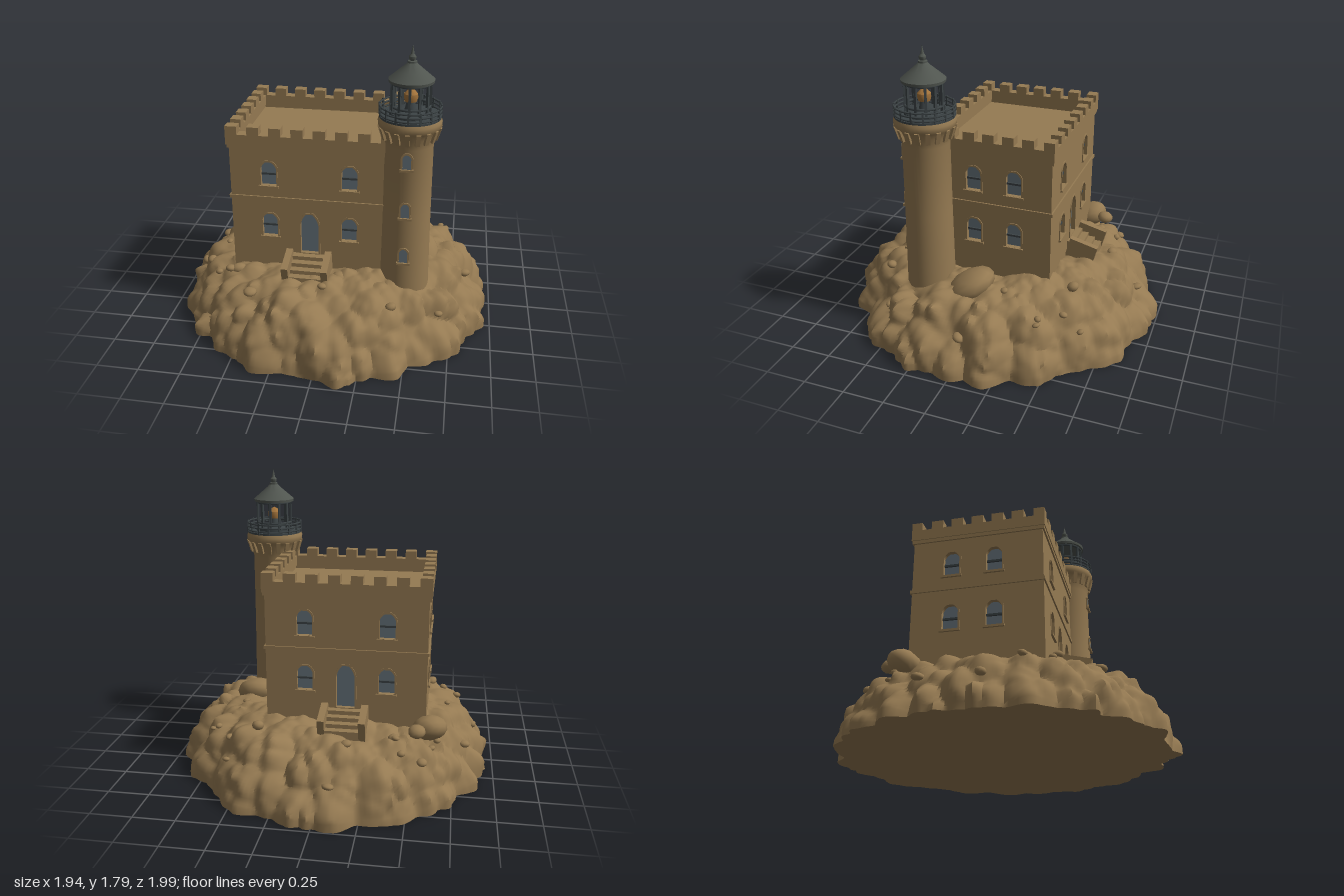
import * as THREE from 'three';
import { toCreasedNormals } from 'three/addons/utils/BufferGeometryUtils.js';

const material = (name, color) => Object.assign(new THREE.MeshStandardMaterial({ color }), { name });
const stone = material('sandstone', 0x957a52);
const glass = material('glass', 0x65727a);
const iron = material('dark iron', 0x3c4345);
const roofMetal = material('roof metal', 0x50554f);
const lampColor = material('lamp', 0xa0713a);
glass.side = THREE.DoubleSide;

let seed = 7;
const rand = () => (seed = (seed * 16807) % 2147483647) / 2147483647;
const range = (a, b) => a + (b - a) * rand();

function add(parent, name, geometry, mat, x = 0, y = 0, z = 0) {
  const mesh = new THREE.Mesh(geometry, mat);
  mesh.name = name;
  mesh.position.set(x, y, z);
  parent.add(mesh);
  return mesh;
}
const box = (parent, name, w, h, d, x, y, z, mat = stone) =>
  add(parent, name, new THREE.BoxGeometry(w, h, d), mat, x, y, z);
const lathe = (points, sides = 40) => toCreasedNormals(
  new THREE.LatheGeometry(points.map(p => new THREE.Vector2(...p)), sides), 0.6);

function group(parent, name, x = 0, y = 0, z = 0, ry = 0) {
  const g = new THREE.Group();
  g.name = name;
  g.position.set(x, y, z);
  g.rotation.y = ry;
  parent.add(g);
  return g;
}

// Arched outline standing on y, centred on x
function arch(Type, x, y, w, h) {
  const a = w / 2, s = new Type();
  s.moveTo(x - a, y);
  s.lineTo(x + a, y);
  s.lineTo(x + a, y + h * 0.74);
  s.quadraticCurveTo(x + a * 0.85, y + h * 0.9, x + a * 0.35, y + h);
  s.lineTo(x - a * 0.35, y + h);
  s.quadraticCurveTo(x - a * 0.85, y + h * 0.9, x - a, y + h * 0.74);
  s.closePath();
  return s;
}

// Glass, surround, sill and bar of one opening
function opening(parent, { x, y, w, h, door }, inset, bar = true) {
  add(parent, door ? 'doorPanel' : 'windowGlass',
    new THREE.ShapeGeometry(arch(THREE.Shape, x, y, w, h)), glass, 0, 0, -inset);
  const ring = arch(THREE.Shape, x, y - 0.006, w + 0.02, h + 0.016);
  ring.holes.push(arch(THREE.Path, x, y, w, h));
  add(parent, 'surround', new THREE.ExtrudeGeometry(ring, { depth: 0.011, bevelEnabled: false, curveSegments: 6 }),
    stone, 0, 0, -0.006);
  if (door) return;
  box(parent, 'sill', w + 0.03, 0.013, 0.026, x, y - 0.007, 0);
  if (bar) box(parent, 'sashBar', w, 0.012, 0.012, x, y + h * 0.47, -inset + 0.005, iron);
}

// Rocky mound: a swept profile swollen by overlapping crags
function buildMound(root) {
  const profile = new THREE.SplineCurve([[0.925, 0], [0.885, 0.09], [0.83, 0.18], [0.76, 0.26], [0.66, 0.325],
    [0.5, 0.365], [0.25, 0.38], [0, 0.38]].map(p => new THREE.Vector2(...p)));
  const base = (t, angle) => {
    const p = profile.getPointAt(t);
    const r = p.x * (1 + 0.012 * Math.sin(3 * angle + 1) + 0.01 * Math.sin(5 * angle));
    return new THREE.Vector3(r * Math.cos(angle), p.y, r * Math.sin(angle));
  };
  const scatter = (count, r0, r1, amp) => Array.from({ length: count }, () => {
    const t = rand() * 0.62;
    return { p: base(t, rand() * Math.PI * 2), r: range(r0, r1), amp: amp * range(0.55, 1.15) * (t > 0.38 ? 0.65 : 1) };
  });
  const layers = [scatter(330, 0.07, 0.15, 0.09), scatter(600, 0.03, 0.06, 0.016)];
  const bump = v => layers.reduce((sum, layer) => {
    let best = 0;
    for (const { p, r, amp } of layer) {
      const dx = v.x - p.x, dy = (v.y - p.y) * 0.5, dz = v.z - p.z;
      best = Math.max(best, amp * (1 - Math.pow((dx * dx + dy * dy + dz * dz) / (r * r), 0.65)));
    }
    return sum + best;
  }, 0);

  const N = 280, M = 72, pos = [], index = [];
  for (let j = 0; j <= M; j++) {
    const t = j / M, tan = profile.getTangentAt(t);
    for (let i = 0; i < N; i++) {
      const a = i / N * Math.PI * 2, v = base(t, a), d = bump(v) - 0.012;
      const r = Math.min(1, Math.hypot(v.x, v.z) + d * tan.y);
      pos.push(r * Math.cos(a), j === 0 ? 0 : Math.max(0.004, v.y - d * tan.x), r * Math.sin(a));
      if (j === M) continue;
      const p = j * N + i, q = j * N + (i + 1) % N;
      index.push(p, p + N, q, q, p + N, q + N);
    }
  }
  const geo = new THREE.BufferGeometry();
  geo.setAttribute('position', new THREE.Float32BufferAttribute(pos, 3));
  geo.setIndex(index);
  add(root, 'rockMound', toCreasedNormals(geo, 0.75), stone);

  // Flat underside
  const under = new THREE.BufferGeometry(), fan = [];
  for (let i = 0; i < N; i++) fan.push(N, i, (i + 1) % N);
  under.setAttribute('position', new THREE.Float32BufferAttribute([...pos.slice(0, N * 3), 0, 0, 0], 3));
  under.setIndex(fan);
  under.computeVertexNormals();
  add(root, 'moundUnderside', under, stone);

  // Loose rocks resting on the mound
  const rocks = group(root, 'looseRocks');
  const placeRock = (x, y, z, s) => {
    const rock = add(rocks, 'rock', new THREE.DodecahedronGeometry(s, 1), stone, x, y, z);
    rock.scale.set(range(0.9, 1.3), range(0.65, 0.85), range(0.9, 1.2));
    rock.rotation.set(range(-0.3, 0.3), range(0, 6), range(-0.3, 0.3));
  };
  for (let k = 0; k < 26; k++) {
    const v = 3 * (Math.floor(range(13, 38)) * N + Math.floor(rand() * N));
    placeRock(pos[v], pos[v + 1] + 0.005, pos[v + 2], range(0.018, 0.034));
  }
  for (const [x, y, z, s] of [[-0.54, 0.41, -0.53, 0.045], [-0.61, 0.39, -0.42, 0.09], [0.52, 0.37, 0.03, 0.13],
    [0.38, 0.4, -0.56, 0.035], [0.08, 0.38, 0.44, 0.045], [-0.55, 0.36, 0.4, 0.04]]) placeRock(x, y, z, s);
}

const CX = -0.1125, CZ = -0.03, W = 0.945, D = 0.76;

function buildHouse(root) {
  const house = group(root, 'house');
  box(house, 'roofAndCore', W - 0.056, 0.845, D - 0.056, CX, 0.7225, CZ);

  // Walls with cut openings; local x = 0 is the wall's centre
  const wall = (name, width, xs, hasDoor, x, z, ry) => {
    const g = group(house, name, x, 0, z, ry);
    const holes = xs.flatMap(wx => [0.58, 0.915].map(y => ({ x: wx, y, w: 0.092, h: 0.148 })));
    if (hasDoor) holes.push({ x: 0, y: 0.48, w: 0.108, h: 0.26, door: true });
    const shape = new THREE.Shape();
    shape.moveTo(-width / 2, 0.28).lineTo(width / 2, 0.28).lineTo(width / 2, 1.18).lineTo(-width / 2, 1.18);
    shape.closePath();
    for (const o of holes) shape.holes.push(arch(THREE.Path, o.x, o.y, o.w, o.h));
    add(g, 'wall', new THREE.ExtrudeGeometry(shape, { depth: 0.03, bevelEnabled: false, curveSegments: 6 }),
      stone, 0, 0, -0.03);
    for (const o of holes) opening(g, o, 0.022);
  };
  wall('frontWall', W, [-0.24, 0.24], true, CX, CZ + D / 2, 0);
  wall('backWall', W, [-0.24, 0.24], true, CX, CZ - D / 2, Math.PI);
  wall('leftWall', D, [-0.1, 0.15], false, CX + W / 2, CZ, Math.PI / 2);
  wall('rightWall', D, [-0.15, 0.1], false, CX - W / 2, CZ, -Math.PI / 2);

  // String course, cornice and parapet
  box(house, 'stringCourse', W + 0.018, 0.02, D + 0.018, CX, 0.832, CZ);
  const band = (name, y, h, out, thick) => {
    const w = W + 2 * out, d = D + 2 * out;
    for (const s of [-1, 1]) {
      box(house, name, w, h, thick, CX, y, CZ + s * (d - thick) / 2);
      box(house, name, thick, h, d - 2 * thick, CX + s * (w - thick) / 2, y, CZ);
    }
  };
  band('cornice', 1.155, 0.022, 0.01, 0.05);
  band('parapet', 1.1975, 0.065, 0.015, 0.062);

  // Battlements
  const bw = W + 0.03, bd = D + 0.03, t = 0.062;
  for (const s of [-1, 1]) {
    for (let i = 0; i < 8; i++)
      box(house, 'merlon', 0.07, 0.052, t, CX - bw / 2 + 0.035 + i * (bw - 0.07) / 7, 1.253, CZ + s * (bd - t) / 2);
    for (let i = 1; i < 6; i++)
      box(house, 'merlon', t, 0.052, 0.07, CX + s * (bw - t) / 2, 1.253, CZ - bd / 2 + 0.035 + i * (bd - 0.07) / 6);
  }

  // Entrance steps with sloping side walls, front and back
  for (const s of [1, -1]) {
    const g = group(root, s > 0 ? 'frontSteps' : 'backSteps', CX, 0, CZ + s * D / 2, s > 0 ? 0 : Math.PI);
    for (let i = 0; i < 4; i++) box(g, 'step', 0.21, 0.2, 0.046, 0, 0.375 - i * 0.024, 0.022 + i * 0.043);
    for (const x of [-0.118, 0.118]) box(g, 'sideWall', 0.04, 0.2, 0.18, x, 0.396, 0.09).rotation.x = 0.25;
  }
}

function buildTower(root) {
  const tower = group(root, 'tower', 0.46, 0, 0.315);
  add(tower, 'towerShaft', lathe([[0.148, 0.25], [0.145, 0.4], [0.14, 0.8], [0.138, 1.23], [0.146, 1.26], [0.153, 1.29],
    [0.168, 1.325], [0.178, 1.338], [0.18, 1.365], [0.172, 1.385], [0, 1.385]], 48), stone);
  for (const [y, r] of [[0.53, 0.144], [0.82, 0.14], [1.12, 0.139]])
    opening(group(tower, 'towerWindow', 0, 0, r), { x: 0, y, w: 0.048, h: 0.085 }, -0.002, false);

  // Repeats a part around the tower axis
  const around = (count, make) => {
    for (let i = 0; i < count; i++) make(group(tower, 'radialPart', 0, 0, 0, i / count * Math.PI * 2));
  };
  around(18, g => { box(g, 'corbel', 0.026, 0.075, 0.02, 0, 1.3, 0.161).rotation.x = 0.3; });

  // Gallery deck and railing
  add(tower, 'galleryDeck', new THREE.CylinderGeometry(0.174, 0.174, 0.012, 40), iron, 0, 1.39, 0);
  for (const y of [1.405, 1.428, 1.45]) {
    add(tower, 'rail', new THREE.TorusGeometry(0.172, 0.0055, 6, 40), iron, 0, y, 0).rotation.x = Math.PI / 2;
  }
  around(16, g => box(g, 'railPost', 0.01, 0.07, 0.01, 0, 1.423, 0.172, iron));

  // Lantern room
  add(tower, 'lanternBase', lathe([[0.118, 1.39], [0.118, 1.412], [0.105, 1.418], [0, 1.418]]), iron);
  around(12, g => box(g, 'lanternPost', 0.014, 0.2, 0.014, 0, 1.495, 0.108, iron));
  for (const y of [1.45, 1.58]) {
    add(tower, 'lanternRing', new THREE.TorusGeometry(0.108, 0.008, 6, 30), iron, 0, y, 0).rotation.x = Math.PI / 2;
  }
  add(tower, 'lampPedestal', new THREE.CylinderGeometry(0.022, 0.035, 0.06, 16), iron, 0, 1.445, 0);
  add(tower, 'lamp', lathe([[0, 1.468], [0.034, 1.472], [0.04, 1.495], [0.038, 1.515], [0.02, 1.535], [0, 1.545]], 20), lampColor);

  // Roof and finial
  add(tower, 'lanternRoof', lathe([[0, 1.585], [0.126, 1.585], [0.128, 1.6], [0.118, 1.608], [0.075, 1.645], [0.04, 1.675],
    [0.026, 1.69], [0.026, 1.7], [0, 1.706]], 32), roofMetal);
  add(tower, 'finial', lathe([[0.012, 1.695], [0.02, 1.715], [0.02, 1.725], [0.01, 1.738], [0.006, 1.76], [0, 1.788]], 12), roofMetal);
}

export function createModel() {
  const root = new THREE.Group();
  root.name = 'lighthouseOnRock';
  buildMound(root);
  buildHouse(root);
  buildTower(root);
  return root;
}
